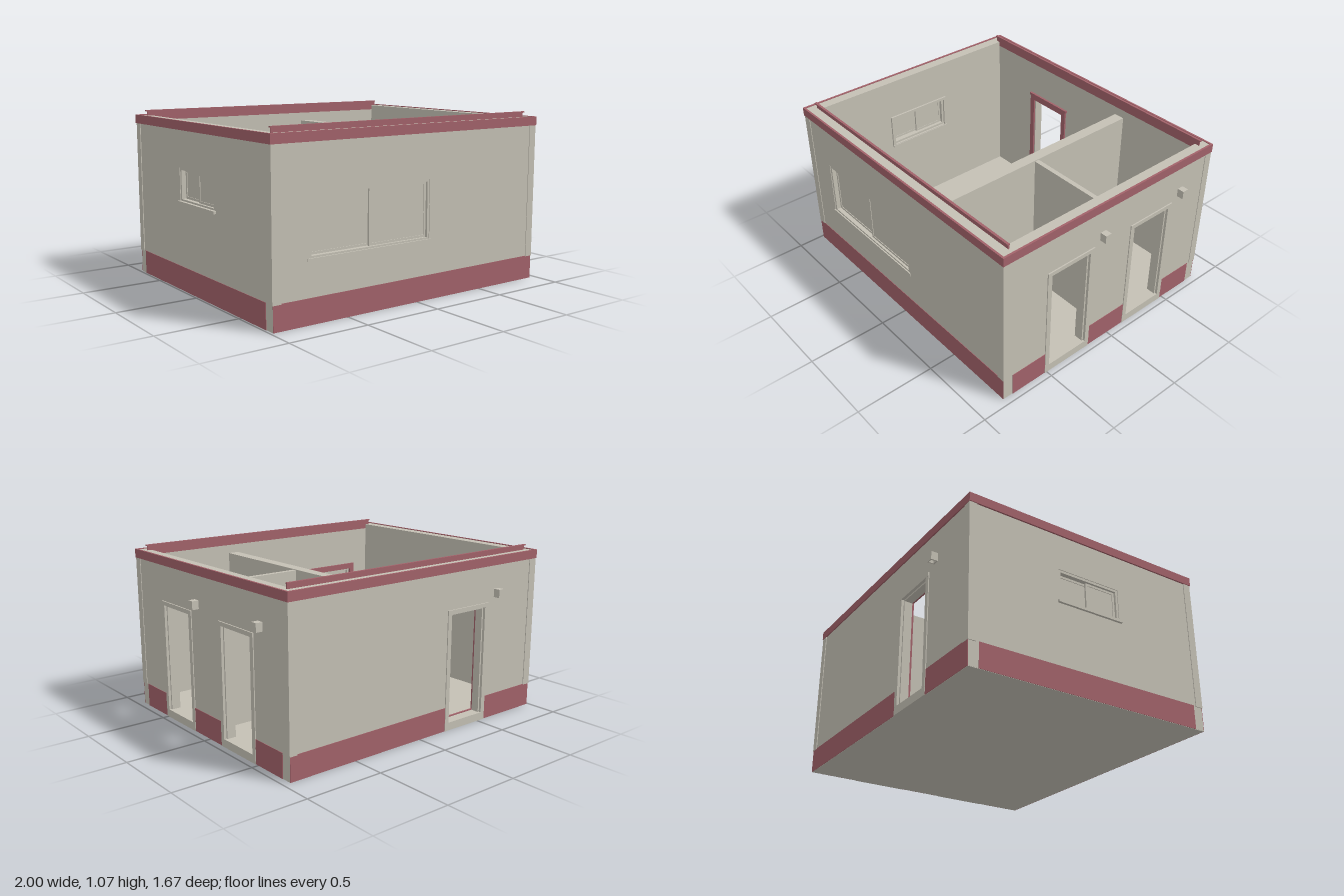
import * as THREE from 'three';

const plaster = new THREE.MeshStandardMaterial({ color: 0xc4c0b4 });
plaster.name = 'beige plaster';
const red = new THREE.MeshStandardMaterial({ color: 0xa2626a });
red.name = 'dusty red';

// Box given by its minimum and maximum on each axis
function box(parent, name, mat, x0, x1, y0, y1, z0, z1) {
  const mesh = new THREE.Mesh(new THREE.BoxGeometry(x1 - x0, y1 - y0, z1 - z0), mat);
  mesh.position.set((x0 + x1) / 2, (y0 + y1) / 2, (z0 + z1) / 2);
  mesh.name = name;
  parent.add(mesh);
  return mesh;
}

function rectPath(path, x0, x1, y0, y1) {
  path.moveTo(x0, y0);
  path.lineTo(x1, y0);
  path.lineTo(x1, y1);
  path.lineTo(x0, y1);
  path.closePath();
  return path;
}

// Upright slab with rectangular holes, extruded from z0 to z1
function slab(parent, name, mat, [x0, x1, y0, y1], holes, z0, z1) {
  const shape = rectPath(new THREE.Shape(), x0, x1, y0, y1);
  for (const h of holes) shape.holes.push(rectPath(new THREE.Path(), ...h));
  const geo = new THREE.ExtrudeGeometry(shape, { depth: z1 - z0, bevelEnabled: false });
  const mesh = new THREE.Mesh(geo, mat);
  mesh.position.z = z0;
  mesh.name = name;
  parent.add(mesh);
}

const grow = ([a, b, c, d], s) => [a - s, b + s, c - s, d + s];

// Open doorway: outer casing, inner jamb and head trim
function doorway(parent, u, inner, outer, redInside) {
  const g = new THREE.Group();
  g.name = 'doorFrame';
  const a = u - 0.175, b = u + 0.175;
  for (const s of [-1, 1]) {
    const e = u + s * 0.175, m = u + s * 0.145, j = u + s * 0.135;
    box(g, 'doorCasing', plaster, Math.min(e, m), Math.max(e, m), 0.05, 0.755, outer - 0.01, outer + 0.006);
    box(g, 'doorJamb', plaster, Math.min(j, m), Math.max(j, m), 0.05, 0.725, inner + 0.002, outer - 0.01);
  }
  box(g, 'doorHead', plaster, a, b, 0.73, 0.755, outer - 0.01, outer + 0.008);
  box(g, 'doorHeadJamb', plaster, a + 0.03, b - 0.03, 0.72, 0.732, inner + 0.002, outer - 0.01);
  box(g, 'doorStep', plaster, a, b, 0, 0.05, inner + 0.002, outer + 0.005);
  if (redInside) {
    slab(g, 'innerDoorCasing', red, [u - 0.175, u + 0.175, 0.046, 0.76],
      [[u - 0.14, u + 0.14, 0.056, 0.725]], inner - 0.012, inner);
    box(g, 'innerDoorHead', red, u - 0.183, u + 0.183, 0.755, 0.772, inner - 0.015, inner);
  }
  parent.add(g);
}

// Two-sash sliding window with opaque panes and a sill
function slidingWindow(parent, hole, inner, outer, insideMat, insideBorder, sillReach) {
  const g = new THREE.Group();
  g.name = 'window';
  const [a, b, c, d] = hole, mid = (a + b) / 2;
  slab(g, 'windowFrame', plaster, hole, [grow(hole, -0.015)], inner + 0.005, outer - 0.004);
  [[a + 0.015, mid + 0.01, 0.032], [mid - 0.01, b - 0.015, 0.018]].forEach(([l, r, back]) => {
    const s = [l, r, c + 0.015, d - 0.015];
    slab(g, 'sash', plaster, s, [grow(s, -0.014)], outer - back - 0.012, outer - back);
    box(g, 'pane', plaster, l + 0.014, r - 0.014, c + 0.029, d - 0.029, outer - back - 0.009, outer - back - 0.004);
  });
  box(g, 'windowSill', plaster, a - 0.012, b + 0.012, c - 0.012, c + 0.004, outer - 0.02, outer + sillReach);
  slab(g, 'innerWindowCasing', insideMat, grow(hole, insideBorder), [grow(hole, -0.004)], inner - 0.012, inner);
  box(g, 'innerWindowSill', insideMat, a - insideBorder, b + insideBorder, c - 0.016, c, inner - 0.016, inner);
  parent.add(g);
}

// Square wall lamp: back plate and hood open underneath
function lamp(parent, u, outer) {
  const g = new THREE.Group();
  g.name = 'wallLamp';
  const w = 0.021, z1 = outer + 0.043;
  box(g, 'lampBack', plaster, u - w, u + w, 0.78, 0.832, outer, outer + 0.008);
  box(g, 'lampTop', plaster, u - w, u + w, 0.824, 0.832, outer, z1);
  box(g, 'lampFront', plaster, u - w, u + w, 0.78, 0.832, z1 - 0.006, z1);
  for (const s of [-1, 1]) {
    const e = u + s * w, i = u + s * (w - 0.006);
    box(g, 'lampSide', plaster, Math.min(e, i), Math.max(e, i), 0.78, 0.832, outer, z1);
  }
  box(g, 'lampBulb', plaster, u - 0.009, u + 0.009, 0.795, 0.824, outer + 0.012, outer + 0.03);
  parent.add(g);
}

export function createModel() {
  const house = new THREE.Group();
  house.name = 'house';

  // Each wall is built facing +z with u along its length, then turned into place
  const walls = [
    { name: 'frontWall', turn: 0, u: [-0.985, 0.955], inner: 0.755, outer: 0.825,
      plinth: [-0.985, 0.955], doors: [], lamps: [],
      window: { hole: [-0.755, 0.085, 0.36, 0.715], mat: red, border: 0.035, sill: 0.004 } },
    { name: 'rightWall', turn: Math.PI / 2, u: [-0.755, 0.73], inner: 0.885, outer: 0.955,
      plinth: [-0.76, 0.73], doors: [-0.34, 0.305], lamps: [-0.1, 0.547] },
    { name: 'backWall', turn: Math.PI, u: [-0.955, 0.985], inner: 0.73, outer: 0.793,
      plinth: [-0.955, 0.985], doors: [0.383], lamps: [0.63], redDoor: true },
    { name: 'leftWall', turn: -Math.PI / 2, u: [-0.73, 0.755], inner: 0.915, outer: 0.985,
      plinth: [-0.73, 0.76], doors: [], lamps: [],
      window: { hole: [-0.205, 0.225, 0.55, 0.755], mat: plaster, border: 0.015, sill: 0.015 } },
  ];
  for (const w of walls) {
    const g = new THREE.Group();
    g.name = w.name;
    g.rotation.y = w.turn;
    const holes = w.doors.map((u) => [u - 0.145, u + 0.145, 0.05, 0.73]);
    if (w.window) holes.push(w.window.hole);
    slab(g, 'wall', plaster, [...w.u, 0.002, 1.03], holes, w.inner, w.outer);

    // Painted plinth, broken at the doors
    const cuts = [w.plinth[0], ...w.doors.flatMap((u) => [u - 0.175, u + 0.175]), w.plinth[1]];
    for (let i = 0; i < cuts.length; i += 2) {
      box(g, 'plinth', red, cuts[i], cuts[i + 1], 0.001, 0.15, w.outer, w.outer + 0.003);
    }
    w.doors.forEach((u) => doorway(g, u, w.inner, w.outer, w.redDoor));
    w.lamps.forEach((u) => lamp(g, u, w.outer));
    if (w.window) {
      const { hole, mat, border, sill } = w.window;
      slidingWindow(g, hole, w.inner, w.outer, mat, border, sill);
    }
    house.add(g);
  }

  // Floor and partitions
  box(house, 'floor', plaster, -0.984, 0.954, 0, 0.045, -0.792, 0.824);
  box(house, 'longPartition', plaster, 0.24, 0.31, 0.04, 0.945, -0.732, 0.757);
  box(house, 'crossPartition', plaster, 0.31, 0.887, 0.04, 0.94, 0, 0.03);

  // Corner pilasters
  for (const [x0, x1] of [[-0.99, -0.935], [0.908, 0.959]]) {
    for (const [z0, z1] of [[-0.798, -0.748], [0.778, 0.829]]) {
      box(house, 'cornerPilaster', plaster, x0, x1, 0.146, 0.985, z0, z1);
    }
  }

  // Red fascia around the top
  const t = 0.013;
  box(house, 'frontFascia', red, -0.995, 0.962, 0.98, 1.035, 0.832 - t, 0.832);
  box(house, 'backFascia', red, -0.995, 0.962, 0.98, 1.035, -0.801, -0.801 + t);
  box(house, 'leftFascia', red, -0.995, -0.995 + t, 0.98, 1.035, -0.801 + t, 0.832 - t);
  box(house, 'rightFascia', red, 0.962 - t, 0.962, 0.98, 1.035, -0.801 + t, 0.832 - t);

  // Roof rails along the inner edges of the front and back walls
  for (const [z, s] of [[0.755, 1], [-0.73, -1]]) {
    const rail = new THREE.Group();
    rail.name = 'roofRail';
    const span = (a, b) => [Math.min(z + s * a, z + s * b), Math.max(z + s * a, z + s * b)];
    box(rail, 'railWeb', red, -0.945, 0.915, 1.0, 1.058, ...span(-0.002, 0.005));
    box(rail, 'railFlange', red, -0.953, 0.92, 1.057, 1.065, ...span(-0.002, 0.013));
    house.add(rail);
  }
  return house;
}
